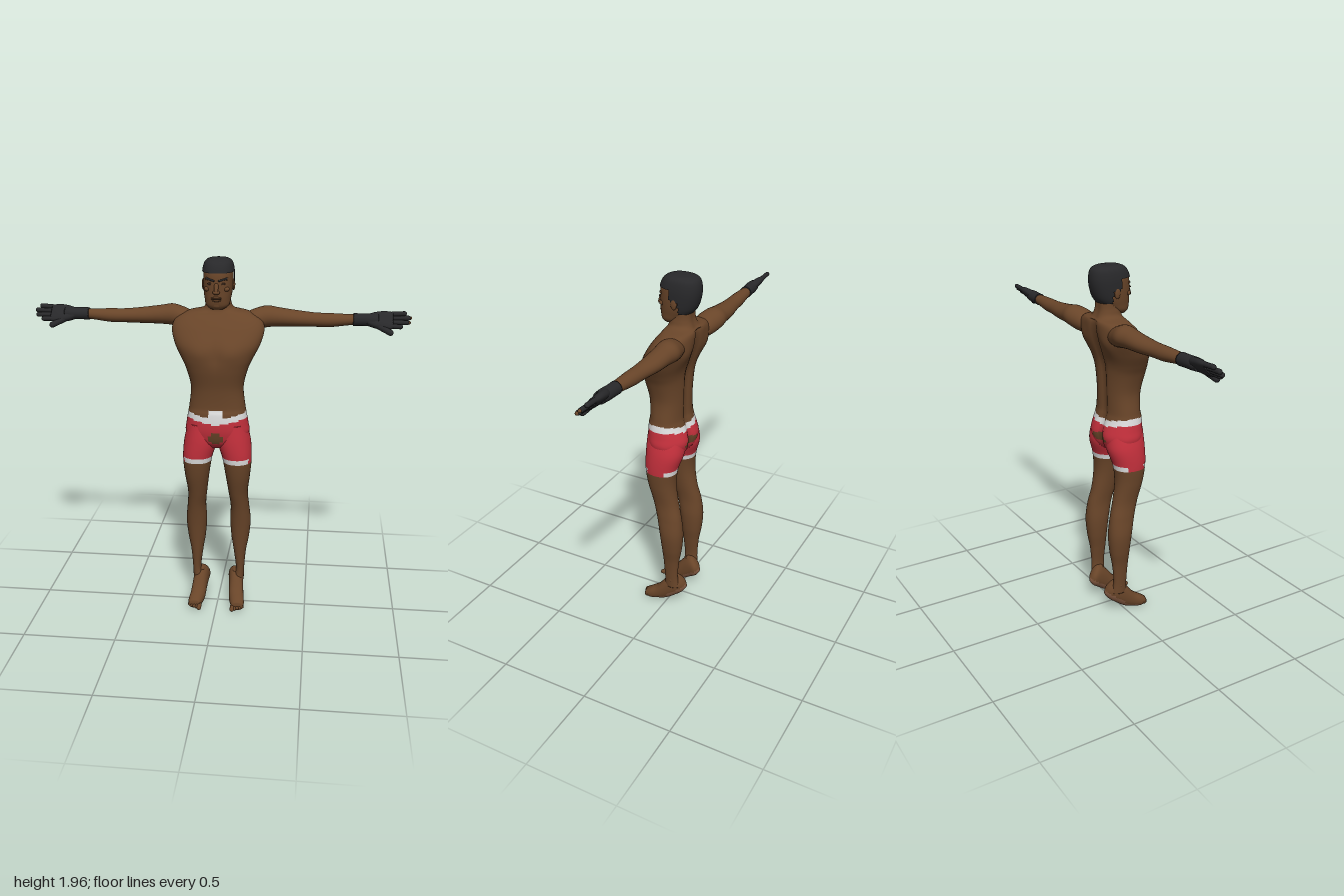
import * as THREE from 'three';

const mat = (name, color) => Object.assign(new THREE.MeshStandardMaterial({ color }), { name });
const skin = mat('skin', 0x694529), shade = mat('dark skin', 0x3a2619), red = mat('red cloth', 0xc4303c);
const white = mat('white trim', 0xdedede), black = mat('black', 0x28282a), sole = mat('sole skin', 0x80573f);
const PALETTE = [skin, red, white, black, sole];
const SKIN = 0, RED = 1, WHITE = 2, BLACK = 3, SOLE = 4, NONE = -1;

// Section axes: upright parts, arms (along x), feet (along z)
const UP = (s, u, v) => new THREE.Vector3(u, s, v);
const ACROSS = (s, u, v) => new THREE.Vector3(s, v, u);
const FORWARD = (s, u, v) => new THREE.Vector3(v, u, s);

// Smooth skin over rows of [s, uMin, uMax, vMin, vMax]; paint() picks a material per face
function loft(rows, axes, { steps = 40, segs = 40, power = 2, paint = () => SKIN, bend = p => p } = {}) {
  if (rows[0][0] > rows.at(-1)[0]) rows = [...rows].reverse();
  const sample = t => {
    const f = t * (rows.length - 1), i = Math.min(Math.floor(f), rows.length - 2), k = f - i;
    const at = j => rows[THREE.MathUtils.clamp(j, 0, rows.length - 1)];
    return rows[0].map((_, c) => {
      const [a, b, d, e] = [at(i - 1)[c], at(i)[c], at(i + 1)[c], at(i + 2)[c]];
      return b + 0.5 * k * (d - a + k * (2 * a - 5 * b + 4 * d - e + k * (3 * (b - d) + e - a)));
    });
  };
  const pts = [], faces = PALETTE.map(() => []);
  const curve = c => Math.sign(c) * Math.abs(c) ** (2 / power);
  for (let i = 0; i <= steps; i++) {
    const [s, u0, u1, v0, v1] = sample(i / steps);
    for (let j = 0; j < segs; j++) {
      const a = j / segs * Math.PI * 2;
      pts.push(bend(axes(s, (u0 + u1) / 2 + curve(Math.cos(a)) * (u1 - u0) / 2,
        (v0 + v1) / 2 + curve(Math.sin(a)) * (v1 - v0) / 2)));
    }
  }
  const face = (...ids) => {
    const mid = ids.reduce((m, i) => m.add(pts[i]), new THREE.Vector3()).divideScalar(ids.length);
    const m = paint(mid);
    if (m === NONE) return;
    faces[m].push(ids[0], ids[1], ids[2]);
    if (ids.length > 3) faces[m].push(ids[0], ids[2], ids[3]);
  };
  for (let i = 0; i < steps; i++) for (let j = 0; j < segs; j++) {
    const k = (j + 1) % segs, a = i * segs, b = a + segs;
    face(a + j, b + j, b + k, a + k);
  }
  for (const end of [0, steps]) {
    const a = end * segs, c = pts.length, mid = new THREE.Vector3();
    for (let j = 0; j < segs; j++) mid.addScaledVector(pts[a + j], 1 / segs);
    pts.push(mid);
    for (let j = 0; j < segs; j++) {
      const k = (j + 1) % segs;
      end ? face(c, a + k, a + j) : face(c, a + j, a + k);
    }
  }
  const g = new THREE.BufferGeometry().setFromPoints(pts);
  g.setIndex(faces.flat());
  let start = 0;
  faces.forEach((f, m) => { if (f.length) g.addGroup(start, f.length, m); start += f.length; });
  g.computeVertexNormals();
  return g;
}

// Mirror image of a geometry across x = 0
function mirror(geo) {
  const g = geo.clone().scale(-1, 1, 1), ix = g.index.array;
  for (let i = 0; i < ix.length; i += 3) [ix[i], ix[i + 1]] = [ix[i + 1], ix[i]];
  return g;
}

// Capsule between two points
function rod(a, b, r) {
  const A = new THREE.Vector3(...a), d = new THREE.Vector3(...b).sub(A);
  const g = new THREE.CapsuleGeometry(r, Math.max(d.length() - 2 * r, 0.001), 5, 12);
  g.applyQuaternion(new THREE.Quaternion().setFromUnitVectors(new THREE.Vector3(0, 1, 0), d.clone().normalize()));
  const m = A.addScaledVector(d, 0.5);
  return g.translate(m.x, m.y, m.z);
}
const ball = (x, y, z, a, b, c) => new THREE.SphereGeometry(1, 16, 12).scale(a, b, c).translate(x, y, z);

// Shorts, waistband, hems and bare skin
function bodyPaint({ x, y, z }) {
  const ax = Math.abs(x), top = 1.14 + Math.min(ax / 0.15, 1) * 0.027;
  if (z > 0 && ax < 0.035 && y > 1.12 && y < 1.187) return WHITE;
  if (y > top) return SKIN;
  if (y > top - 0.032) return WHITE;
  if (z > 0 && Math.hypot(x, y - 1.03) < 0.036) return SKIN;
  if (z < 0 && Math.hypot(ax / 0.07, (y - 1.04) / 0.025) < 1) return SKIN;
  if (y > 0.913) return RED;
  if (y < 0.882) return SKIN;
  return ax > 0.15 && z > -0.02 && z < 0.08 ? RED : WHITE;
}

// Spine groove, shoulder blades and chest
function muscles(p) {
  const ax = Math.abs(p.x), bump = (x, y, w, h) => Math.exp(-(((ax - x) / w) ** 2) - ((p.y - y) / h) ** 2);
  if (p.z < -0.02) {
    p.z += 0.02 * Math.exp(-((p.x / 0.025) ** 2)) * (p.y < 1.69 ? 1 : 0.3);
    p.z -= 0.016 * bump(0.11, 1.58, 0.05, 0.06) + 0.012 * bump(0.08, 1.06, 0.06, 0.05);
  } else if (p.z > 0.03) p.z += 0.009 * bump(0.085, 1.49, 0.06, 0.05) - 0.006 * bump(0, 1.5, 0.015, 0.08);
  return p;
}

export function createModel() {
  const model = new THREE.Group();
  const add = (name, geo, material = PALETTE) => {
    const m = new THREE.Mesh(geo, material);
    m.name = name;
    model.add(m);
  };
  const pair = (name, geo, material) => {
    add('left ' + name, geo, material);
    add('right ' + name, mirror(geo), material);
  };
  const sym = ([y, w, back, front]) => [y, -w, w, back, front];

  // Torso and neck
  add('torso', loft([
    [0.965, 0.08, -0.06, 0.08], [1.0, 0.15, -0.085, 0.11], [1.05, 0.172, -0.092, 0.125], [1.1, 0.166, -0.088, 0.13],
    [1.16, 0.156, -0.074, 0.127], [1.2, 0.149, -0.068, 0.12], [1.3, 0.14, -0.07, 0.126], [1.4, 0.163, -0.073, 0.145],
    [1.46, 0.19, -0.08, 0.147], [1.53, 0.225, -0.1, 0.138], [1.6, 0.243, -0.12, 0.1], [1.65, 0.225, -0.13, 0.065],
    [1.685, 0.165, -0.13, 0.038], [1.705, 0.085, -0.115, 0.028], [1.74, 0.065, -0.103, 0.025], [1.79, 0.06, -0.1, 0.02],
  ].map(sym), UP, { steps: 110, segs: 64, power: 2.3, paint: bodyPaint, bend: muscles }));

  // Legs
  pair('leg', loft([
    [1.1, 0.02, 0.155, -0.075, 0.115], [1.0, 0.0, 0.18, -0.09, 0.122], [0.9, 0.028, 0.187, -0.062, 0.118],
    [0.8, 0.045, 0.179, -0.055, 0.102], [0.69, 0.06, 0.166, -0.072, 0.072], [0.6, 0.07, 0.172, -0.094, 0.048],
    [0.5, 0.067, 0.181, -0.105, 0.03], [0.4, 0.074, 0.172, -0.098, 0.018], [0.31, 0.088, 0.156, -0.083, 0.01],
    [0.2, 0.1, 0.147, -0.075, 0.002], [0.13, 0.08, 0.145, -0.085, 0.005],
  ], UP, { steps: 110, segs: 48, power: 2.15, paint: bodyPaint }));

  // Feet and toes, pointing down and outward
  pair('foot', loft([
    [-0.112, 0.115, 0.135, 0.075, 0.092], [-0.09, 0.085, 0.17, 0.055, 0.122], [-0.05, 0.055, 0.2, 0.058, 0.14],
    [0, 0.022, 0.165, 0.064, 0.146], [0.05, 0.008, 0.105, 0.068, 0.152], [0.09, 0.004, 0.078, 0.078, 0.158],
    [0.125, 0.012, 0.055, 0.09, 0.155],
  ], FORWARD, { steps: 30, segs: 28, power: 2.2, paint: ({ y, z }) => (y < 0.075 - z * 0.6 && y < 0.028 + Math.max(0, 0.03 - z) * 0.8 ? SOLE : SKIN) }));
  for (let i = 0; i < 5; i++) {
    const x = 0.094 + i * 0.014, tip = 0.152 - i * 0.007;
    pair('toe ' + (i + 1), rod([x, 0.032, 0.1], [x, 0.018 + i * 0.002, tip], i ? 0.009 : 0.013), skin);
  }
  pair('ankle', ball(0.112, 0.18, -0.04, 0.036, 0.02, 0.026), skin);

  // Arms: [x, y centre, z centre, half height, half depth]
  const limb = ([x, y, z, h, d]) => [x, z - d, z + d, y - h, y + h];
  pair('arm', loft([
    [0.12, 1.625, -0.06, 0.045, 0.055], [0.19, 1.64, -0.073, 0.058, 0.065], [0.25, 1.654, -0.088, 0.057, 0.065],
    [0.31, 1.653, -0.087, 0.05, 0.058], [0.4, 1.648, -0.084, 0.043, 0.053], [0.5, 1.645, -0.076, 0.037, 0.043],
    [0.58, 1.645, -0.072, 0.036, 0.04], [0.66, 1.649, -0.07, 0.03, 0.034], [0.72, 1.652, -0.07, 0.026, 0.028],
  ].map(limb), ACROSS, { steps: 50, segs: 32 }));

  // Gloves: cuff, slanted palm, fingers and thumb
  pair('glove cuff', loft([
    [0.7, 1.651, -0.07, 0.033, 0.033], [0.74, 1.652, -0.069, 0.032, 0.032], [0.79, 1.652, -0.065, 0.032, 0.034],
    [0.83, 1.652, -0.062, 0.03, 0.03],
  ].map(limb), ACROSS, { steps: 14, segs: 24, paint: () => BLACK }));
  const slant = g => g.rotateX(-Math.PI / 4).translate(0, 1.652, -0.062);
  pair('glove palm', slant(loft([
    [0.77, 0, 0, 0.028, 0.024], [0.81, 0, 0, 0.045, 0.024], [0.86, 0, 0, 0.054, 0.022], [0.905, 0, 0, 0.05, 0.015],
  ].map(limb), ACROSS, { steps: 20, segs: 28, power: 2.5, paint: () => BLACK })), PALETTE);
  [[0.037, 0.975], [0.013, 0.995], [-0.012, 0.988], [-0.035, 0.955]].forEach(([y, tip], i) => {
    pair('finger ' + (i + 1), slant(rod([0.87, y, 0], [tip, y * 1.15, 0.004], 0.0125)), black);
    if (i === 1 || i === 2) add('left fingertip ' + (i + 1), slant(ball(tip - 0.002, y * 1.15, 0.004, 0.008, 0.009, 0.009)), skin);
  });
  pair('thumb', rod([0.81, 1.635, -0.045], [0.905, 1.592, -0.008], 0.016), black);

  // Head and hair
  const skull = [
    [1.712, 0.035, -0.01, 0.055], [1.732, 0.06, -0.04, 0.068], [1.765, 0.068, -0.08, 0.075], [1.8, 0.074, -0.108, 0.077],
    [1.85, 0.077, -0.125, 0.078], [1.9, 0.076, -0.13, 0.074], [1.935, 0.066, -0.12, 0.055], [1.953, 0.045, -0.09, 0.025],
    [1.958, 0.012, -0.05, -0.01],
  ];
  add('head', loft(skull.map(sym), UP, { steps: 44, segs: 48, power: 2.3 }));
  const hairPaint = ({ y, z }) =>
    y > 1.902 || (z < -0.005 && y > 1.84) || (z < -0.05 && y > 1.775) ? BLACK : NONE;
  add('hair', loft(skull.slice(2).map(([y, w, b, f]) => sym([y + (y > 1.9 ? 0.008 : 0), w + 0.007, b - 0.009, f + 0.005])),
    UP, { steps: 60, segs: 64, power: 2.3, paint: hairPaint }));

  // Face
  add('nose bridge', rod([0, 1.85, 0.073], [0, 1.802, 0.092], 0.011), skin);
  add('nose tip', ball(0, 1.805, 0.085, 0.019, 0.012, 0.015), skin);
  add('upper lip', ball(0, 1.775, 0.073, 0.027, 0.006, 0.01), skin);
  add('mouth', ball(0, 1.769, 0.076, 0.026, 0.003, 0.006), shade);
  add('lower lip', ball(0, 1.762, 0.072, 0.023, 0.007, 0.01), skin);
  add('chin', ball(0, 1.735, 0.052, 0.03, 0.018, 0.018), skin);
  pair('brow ridge', rod([0.008, 1.863, 0.073], [0.058, 1.872, 0.05], 0.009), skin);
  pair('eyebrow', rod([0.01, 1.862, 0.08], [0.056, 1.874, 0.058], 0.005), black);
  pair('eye', ball(0.033, 1.847, 0.071, 0.014, 0.006, 0.004), shade);
  pair('cheekbone', ball(0.046, 1.818, 0.05, 0.02, 0.014, 0.018), skin);
  pair('ear', ball(0.079, 1.83, -0.028, 0.008, 0.03, 0.017), skin);

  return model;
}
